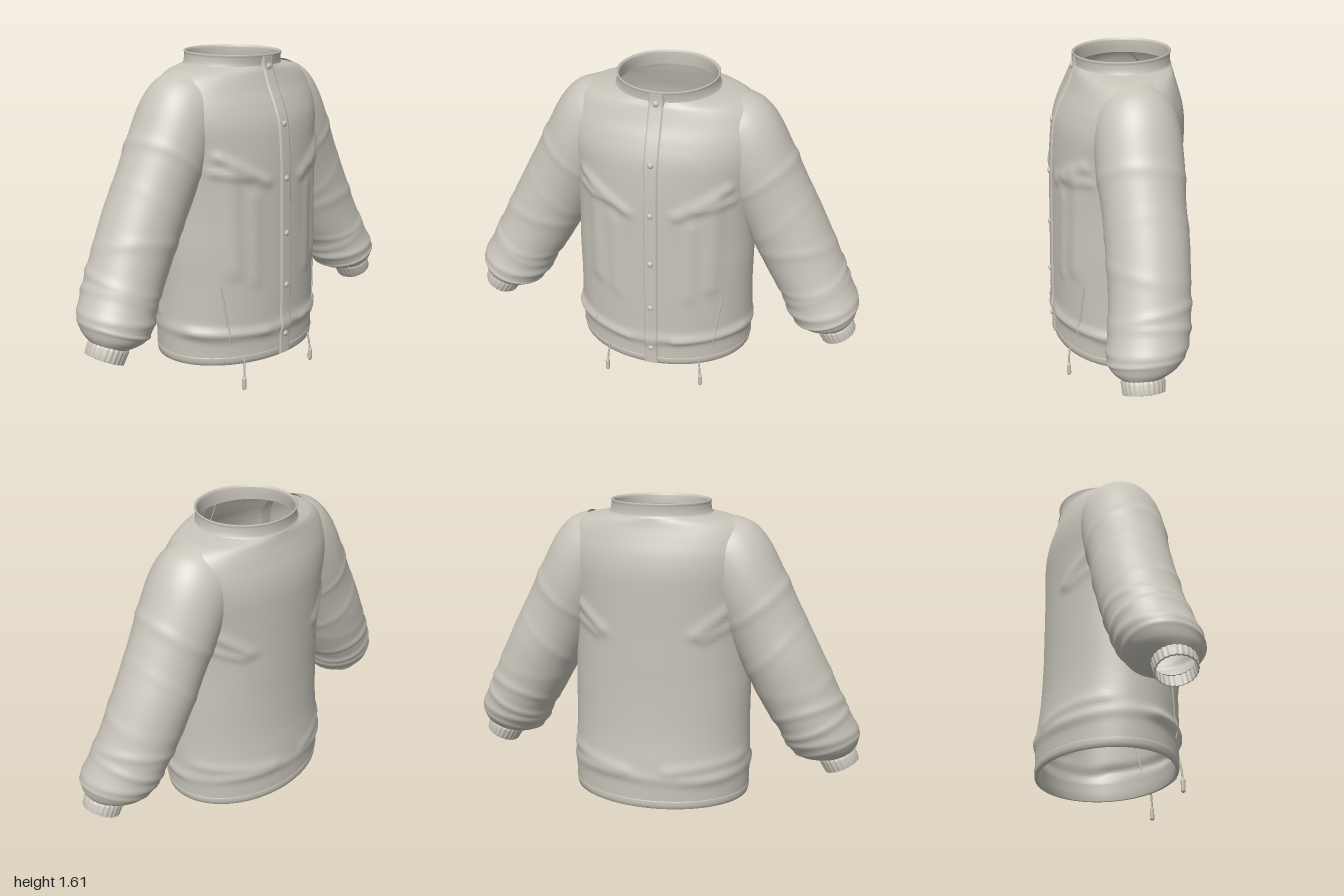
import * as THREE from 'three';

const cloth = new THREE.MeshStandardMaterial({ color: 0xc8c4ba, side: THREE.DoubleSide });
cloth.name = 'stone grey cloth';

// Torso sections, hem to neck: height, half width, front z, back z
const TORSO = [
  [0.17, 0.45, 0.332, -0.338], [0.24, 0.452, 0.332, -0.338], [0.34, 0.452, 0.335, -0.335],
  [0.5, 0.447, 0.335, -0.318], [0.7, 0.447, 0.332, -0.31], [0.85, 0.442, 0.33, -0.31],
  [1.0, 0.445, 0.328, -0.31], [1.15, 0.46, 0.322, -0.312], [1.28, 0.48, 0.308, -0.312],
  [1.37, 0.482, 0.278, -0.3], [1.44, 0.462, 0.245, -0.28], [1.49, 0.425, 0.225, -0.265],
  [1.52, 0.375, 0.214, -0.258], [1.535, 0.31, 0.207, -0.255], [1.545, 0.25, 0.203, -0.253],
];
// Sleeve sections, shoulder to wrist: outer x, y, inner x, y, middle z, half depth
const SLEEVE = [
  [0.36, 1.535, 0.2, 1.2, -0.02, 0.19], [0.45, 1.5, 0.22, 1.15, -0.02, 0.195],
  [0.525, 1.42, 0.26, 1.09, -0.02, 0.2], [0.6, 1.28, 0.3, 1.02, -0.02, 0.2],
  [0.695, 1.09, 0.36, 0.91, -0.02, 0.19], [0.775, 0.935, 0.435, 0.775, -0.02, 0.19],
  [0.86, 0.76, 0.525, 0.605, -0.01, 0.185], [0.925, 0.62, 0.6, 0.49, 0.005, 0.185],
  [0.985, 0.5, 0.658, 0.385, 0.03, 0.178], [0.985, 0.43, 0.71, 0.345, 0.045, 0.15],
  [0.965, 0.385, 0.8, 0.325, 0.06, 0.092],
];
// Cloth folds on the left half: x0, y0, x1, y1, height, width, front (1) or back (-1)
const FOLDS = [
  [0.34, 1.15, 0.12, 1.02, 0.014, 0.025, 1], [0.36, 1.08, 0.22, 1.05, 0.01, 0.02, 1],
  [0.29, 1.08, 0.28, 0.6, 0.01, 0.035, 1], [0.19, 0.95, 0.18, 0.55, 0.007, 0.03, 1],
  [0.42, 0.3, 0.12, 0.28, 0.01, 0.022, 1], [0.4, 1.14, 0.22, 1.0, 0.012, 0.025, -1],
  [0.4, 1.05, 0.26, 0.98, 0.008, 0.02, -1], [0.42, 0.36, 0.1, 0.32, 0.008, 0.025, -1],
];

// Smooth interpolation through a table of sections, t from 0 to 1
function sample(keys, t) {
  const f = t * (keys.length - 1), i = Math.min(Math.floor(f), keys.length - 2), w = f - i;
  const at = (k) => keys[Math.max(0, Math.min(keys.length - 1, k))];
  return at(i).map((b, c) => {
    const a = at(i - 1)[c], d = at(i + 1)[c], e = at(i + 2)[c];
    return b + 0.5 * w * (d - a + w * (2 * a - 5 * b + 4 * d - e + w * (3 * (b - d) + e - a)));
  });
}
const bump = (d, width) => Math.exp(-(d * d) / (width * width));

// Skin of points(u, v), closed round u; skip(p) leaves out triangles
function loft(name, point, nu, nv, { flip = false, closed = true, skip = null } = {}) {
  const pts = [], idx = [], cols = closed ? nu : nu + 1;
  for (let j = 0; j <= nv; j++) for (let i = 0; i < cols; i++) pts.push(point(i / nu, j / nv));
  const tri = (a, b, c) => {
    if (skip && [a, b, c].every((k) => skip(pts[k]))) return;
    if (flip) idx.push(a, c, b); else idx.push(a, b, c);
  };
  for (let j = 0; j < nv; j++) for (let i = 0; i < nu; i++) {
    const a = j * cols + i, b = j * cols + (i + 1) % cols;
    tri(a, b, a + cols);
    tri(b, b + cols, a + cols);
  }
  const g = new THREE.BufferGeometry().setFromPoints(pts);
  g.setIndex(idx);
  g.computeVertexNormals();
  return named(name, g);
}
function named(name, geometry) {
  const m = new THREE.Mesh(geometry, cloth);
  m.name = name;
  return m;
}

// Point on a horizontal oval section
function oval([y, a, zf, zb], u, grow = 0) {
  const t = u * Math.PI * 2, mid = (zf + zb) / 2, half = (zf - zb) / 2;
  return new THREE.Vector3((a + grow) * Math.sin(t), y, mid + (half + grow) * Math.cos(t));
}
function torsoPoint(u, v) {
  const s = sample(TORSO, v), p = oval(s, u), t = u * Math.PI * 2;
  const x = Math.abs(p.x), side = Math.cos(t) >= 0 ? 1 : -1;
  let grow = 0.009 * bump(p.y - 0.285 - 0.012 * Math.sin(3 * t), 0.03) * (1 + 0.4 * Math.sin(5 * t + 1));
  for (const [x0, y0, x1, y1, h, w, sd] of FOLDS) {
    if (sd !== side) continue;
    const dx = x1 - x0, dy = y1 - y0;
    const k = Math.max(0, Math.min(1, ((x - x0) * dx + (p.y - y0) * dy) / (dx * dx + dy * dy)));
    grow += h * bump(Math.hypot(x - x0 - k * dx, p.y - y0 - k * dy), w) * Math.min(1, Math.abs(Math.cos(t)) * 3);
  }
  return oval(s, u, grow);
}
// Torso section at a height
function sectionAt(y) {
  let lo = 0, hi = 1;
  for (let i = 0; i < 24; i++) {
    const m = (lo + hi) / 2;
    if (sample(TORSO, m)[0] < y) lo = m; else hi = m;
  }
  return [lo, sample(TORSO, lo)];
}
// Front surface point at x, y
function onFront(x, y, lift = 0) {
  const [v, s] = sectionAt(y);
  const p = torsoPoint(Math.asin(x / s[1]) / (Math.PI * 2), v);
  return new THREE.Vector3(x, y, p.z + lift);
}
function insideTorso(p) {
  if (p.y > 1.54) return false;
  const [, a, zf, zb] = sectionAt(p.y)[1];
  return Math.hypot(p.x / a, (p.z - (zf + zb) / 2) / ((zf - zb) / 2)) < 0.93;
}

function sleevePoint(side, u, v) {
  const [ox, oy, ix, iy, zc, hz] = sample(SLEEVE, v), t = u * Math.PI * 2;
  const n = v * 10;
  let k = 1;
  // crosswise folds: section number, height, width, slant
  for (const [at, h, w, slant] of [[3.25, 0.03, 0.12, 0.1], [4.6, 0.02, 0.15, 0.4], [5.6, 0.025, 0.15, -0.3],
    [6.6, 0.04, 0.13, 0.2], [7.15, 0.045, 0.13, -0.15], [7.75, 0.05, 0.16, 0.12], [8.4, 0.04, 0.14, -0.1]])
    k += h * bump(n - at - slant * Math.sin(t + at), w) * (0.7 + 0.3 * Math.cos(t + at * 2));
  const c = Math.cos(t) * k / 2;
  return new THREE.Vector3(side * ((ox + ix) / 2 + (ox - ix) * c), (oy + iy) / 2 + (oy - iy) * c, zc + hz * k * Math.sin(t));
}
// Ribbed wrist band, with its inside wall
const CUFF = [[0.965, 0.39, 0.798, 0.322, 0.092], [0.976, 0.378, 0.803, 0.312, 0.097], [0.992, 0.337, 0.834, 0.26, 0.093],
  [0.985, 0.331, 0.841, 0.261, 0.086], [0.963, 0.376, 0.815, 0.314, 0.084]];
function cuffPoint(side, u, v) {
  const f = v * 4, i = Math.min(3, Math.floor(f)), w = f - i;
  const [ox, oy, ix, iy, hz] = CUFF[i].map((a, c) => a + (CUFF[i + 1][c] - a) * w);
  const t = u * Math.PI * 2, k = 1 + 0.018 * Math.cos(t * 24), c = Math.cos(t) * k / 2;
  return new THREE.Vector3(side * ((ox + ix) / 2 + (ox - ix) * c), (oy + iy) / 2 + (oy - iy) * c, 0.06 + hz * k * Math.sin(t));
}
// Oval band from a few straight-joined sections
const band = (name, keys, tilt = 0) => loft(name, (u, v) => {
  const f = v * (keys.length - 1), i = Math.min(keys.length - 2, Math.floor(f));
  const p = oval(keys[i].map((a, c) => a + (keys[i + 1][c] - a) * (f - i)), u);
  p.y -= tilt * p.z;
  return p;
}, 96, (keys.length - 1) * 2);
const tube = (name, pts, r) => named(name, new THREE.TubeGeometry(new THREE.CatmullRomCurve3(pts), 24, r, 6));

export function createModel() {
  const jacket = new THREE.Group();
  jacket.name = 'jacket';
  jacket.add(loft('torso', torsoPoint, 128, 120));

  // Hem and collar, folded inward at their edges
  jacket.add(band('hemBand', [[0.22, 0.43, 0.312, -0.318], [0.13, 0.43, 0.312, -0.32], [0.13, 0.447, 0.33, -0.338],
    [0.165, 0.453, 0.335, -0.341], [0.175, 0.447, 0.329, -0.335]]));
  jacket.add(band('collar', [[1.535, 0.262, 0.208, -0.258], [1.548, 0.245, 0.203, -0.252], [1.585, 0.238, 0.207, -0.252],
    [1.6, 0.242, 0.212, -0.256], [1.603, 0.236, 0.206, -0.25], [1.59, 0.228, 0.199, -0.244], [1.53, 0.236, 0.195, -0.245]], 0.02));

  // Front placket strip
  jacket.add(loft('placket', (u, v) => {
    const x = (u - 0.5) * 0.074, y = 0.135 + v * 1.455;
    const edge = Math.abs(u - 0.5) > 0.45 ? -0.004 : 0.007;
    if (y < 1.535) return onFront(x, Math.max(y, 0.171), edge).setY(y);
    return new THREE.Vector3(x, y, 0.205 + edge);
  }, 12, 70, { closed: false }));

  // Snap buttons
  for (const y of [0.235, 0.49, 0.75, 1.02, 1.28, 1.54]) {
    const b = named('snapButton', new THREE.SphereGeometry(0.015, 16, 10));
    b.scale.z = 0.6;
    b.position.copy(onFront(0, Math.min(y, 1.535), 0.009)).setY(y);
    jacket.add(b);
  }

  for (const side of [1, -1]) {
    const label = side > 0 ? 'left' : 'right', flip = side < 0;
    jacket.add(loft(label + 'Sleeve', (u, v) => sleevePoint(side, u, v), 64, 110, { flip, skip: insideTorso }));
    jacket.add(loft(label + 'Cuff', (u, v) => cuffPoint(side, u, v), 144, 8, { flip }));

    // Slanted pocket welt
    const welt = [];
    for (let i = 0; i <= 6; i++) welt.push(onFront(side * (0.3 + 0.035 * i / 6), 0.24 + 0.29 * i / 6, 0.001));
    jacket.add(tube(label + 'PocketWelt', welt, 0.005));

    // Hanging drawcord and its toggle
    jacket.add(tube(label + 'Drawcord', [new THREE.Vector3(side * 0.235, 0.16, 0.284),
      new THREE.Vector3(side * 0.243, 0.11, 0.292), new THREE.Vector3(side * 0.247, 0.06, 0.294)], 0.005));
    const toggle = named(label + 'Toggle', new THREE.CapsuleGeometry(0.011, 0.046, 6, 12));
    toggle.position.set(side * 0.249, 0.034, 0.295);
    jacket.add(toggle);
  }
  return jacket;
}
